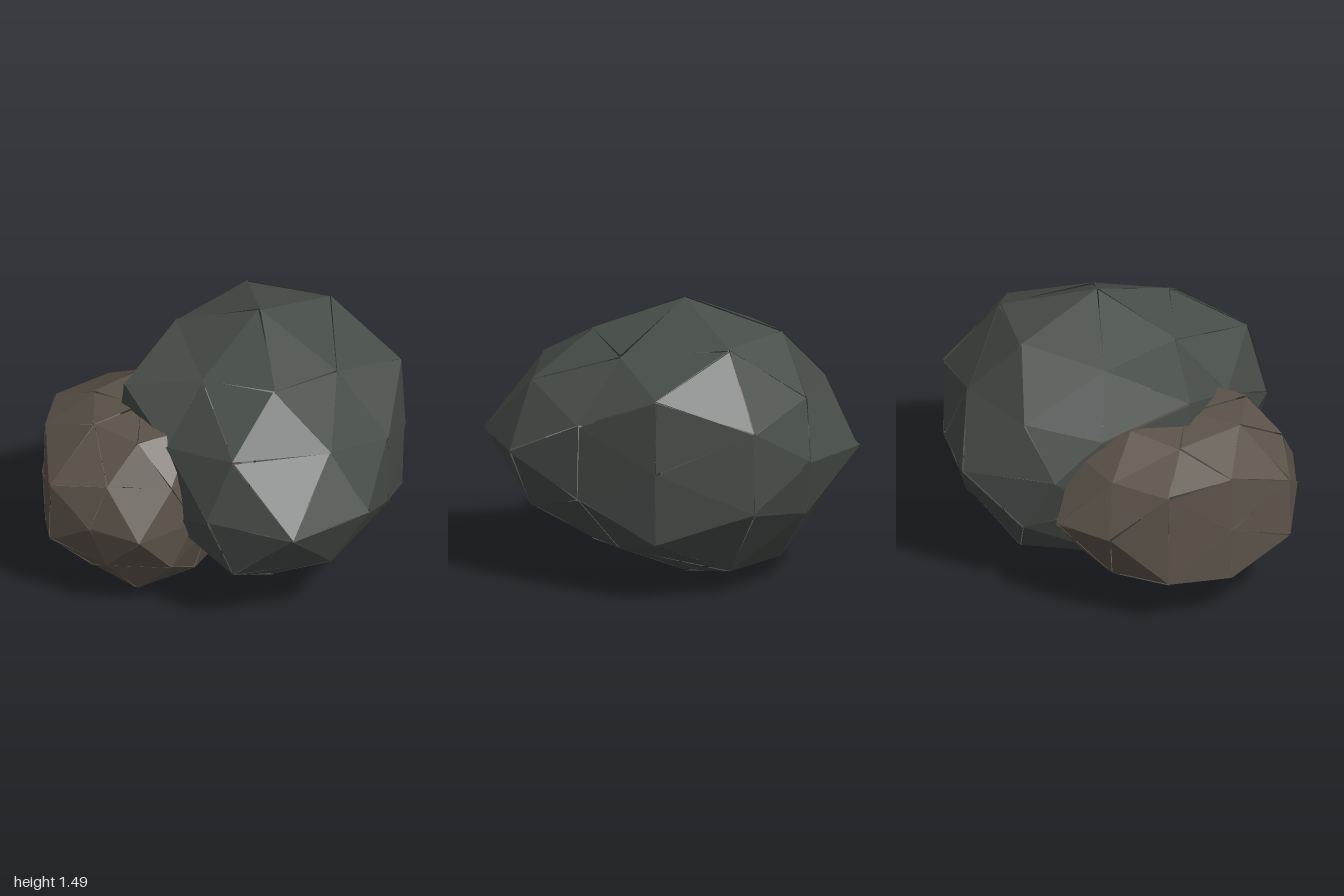
import * as THREE from 'three';

// Small seeded generator for the chipped seams between facets
function seeded(seed) {
  let s = seed;
  return () => {
    s = (s * 16807) % 2147483647;
    return s / 2147483647 - 0.5;
  };
}

const flip = ([x, y, z]) => [x, -y, z];

// Cross-section rings from front (+z) to back; only the upper half is listed
const largeFront = {
  pole: [-0.15, 0, 0.95],
  inner: [[0.22, 0.2, 0.73], [-0.25, 0.34, 0.77], [-0.63, 0, 0.86]],
  corner: [[0.59, 0.39, 0.46], [-0.29, 0.57, 0.4], [-0.81, 0, 0.42]],
  between: [[0.61, 0, 0.47], [0.13, 0.52, 0.44], [-0.69, 0.35, 0.49]],
};
const smallFront = {
  pole: [-0.2, 0, 0.97],
  inner: [[0.2, 0.33, 0.81], [-0.26, 0.34, 0.79], [-0.66, 0, 0.9]],
  corner: [[0.55, 0.38, 0.45], [-0.27, 0.55, 0.4], [-0.81, 0, 0.42]],
  between: [[0.57, 0, 0.46], [0.13, 0.51, 0.42], [-0.69, 0.35, 0.49]],
};
const largeMiddle = [[0.83, 0.22, 0], [0.53, 0.6, 0], [0, 0.76, 0], [-0.42, 0.51, 0], [-0.69, 0.22, 0]];
const smallMiddle = [[0.83, 0.21, 0], [0.43, 0.56, 0], [0, 0.59, 0], [-0.42, 0.51, 0], [-0.69, 0.22, 0]];
const back = {
  pole: [0.05, 0, -0.75],
  inner: [[0.55, 0, -0.74], [0.23, 0.31, -0.71], [-0.16, 0.2, -0.62]],
  corner: [[0.73, 0, -0.37], [0.32, 0.61, -0.4], [-0.59, 0.38, -0.41]],
  between: [[0.6, 0.31, -0.41], [-0.15, 0.55, -0.47], [-0.6, 0, -0.45]],
};

// Complete a five-point ring by mirroring its upper half in y
const endsLeft = ([a, b, c]) => [a, b, c, flip(b), flip(a)];
const startsRight = ([a, b, c]) => [a, b, c, flip(c), flip(b)];

// Faceted boulder: an 80-sided ball stitched from the rings
function boulderGeometry({ seed, front, middle, minY, maxY }) {
  const rand = seeded(seed);
  const chip = 0.014;
  const pos = [];
  const tri = (pts, reverse) => {
    for (const p of reverse ? [...pts].reverse() : pts) {
      const y = THREE.MathUtils.clamp(p[1], minY, maxY);
      pos.push(p[0] + rand() * chip, y + rand() * chip, p[2] + rand() * chip);
    }
  };
  const belt = [...middle, ...[...middle].reverse().map(flip)];

  const cap = (pole, inner, corner, between, shift, reverse) => {
    for (let i = 0; i < 5; i++) {
      const j = (i + 1) % 5;
      const [e0, e1, e2] = [0, 1, 2].map((k) => belt[(2 * i + k + shift + 10) % 10]);
      tri([pole, inner[i], inner[j]], reverse);
      tri([inner[i], corner[i], between[i]], reverse);
      tri([inner[i], between[i], inner[j]], reverse);
      tri([inner[j], between[i], corner[j]], reverse);
      tri([corner[i], e0, e1], reverse);
      tri([corner[i], e1, between[i]], reverse);
      tri([between[i], e1, e2], reverse);
      tri([between[i], e2, corner[j]], reverse);
    }
  };
  const frontBetween = startsRight(front.between);
  frontBetween.push(frontBetween.shift());
  cap(front.pole, endsLeft(front.inner), endsLeft(front.corner), frontBetween, 0, false);
  cap(back.pole, startsRight(back.inner), startsRight(back.corner), endsLeft(back.between), -1, true);

  const geo = new THREE.BufferGeometry();
  geo.setAttribute('position', new THREE.Float32BufferAttribute(pos, 3));
  geo.computeVertexNormals();
  return geo;
}

function boulder(name, color, shape) {
  const material = new THREE.MeshStandardMaterial({ color, flatShading: true, side: THREE.DoubleSide });
  const mesh = new THREE.Mesh(boulderGeometry(shape), material);
  mesh.name = name;
  return mesh;
}

export function createModel() {
  const group = new THREE.Group();
  group.name = 'boulders';

  // Large dark boulder
  const large = boulder('largeBoulder', 0x474d49, {
    seed: 7, front: largeFront, middle: largeMiddle, minY: -0.72, maxY: 0.76,
  });
  large.position.set(0.15, 0.73, 0);
  group.add(large);

  // Smaller brown boulder, turned around and nestled behind
  const small = boulder('smallBoulder', 0x5c5349, {
    seed: 91, front: smallFront, middle: smallMiddle, minY: -0.59, maxY: 0.555,
  });
  small.position.set(-0.4, 0.56, -0.325);
  small.rotation.y = Math.PI - 0.17;
  small.scale.set(0.71, 0.79, 0.7);
  group.add(small);

  return group;
}
